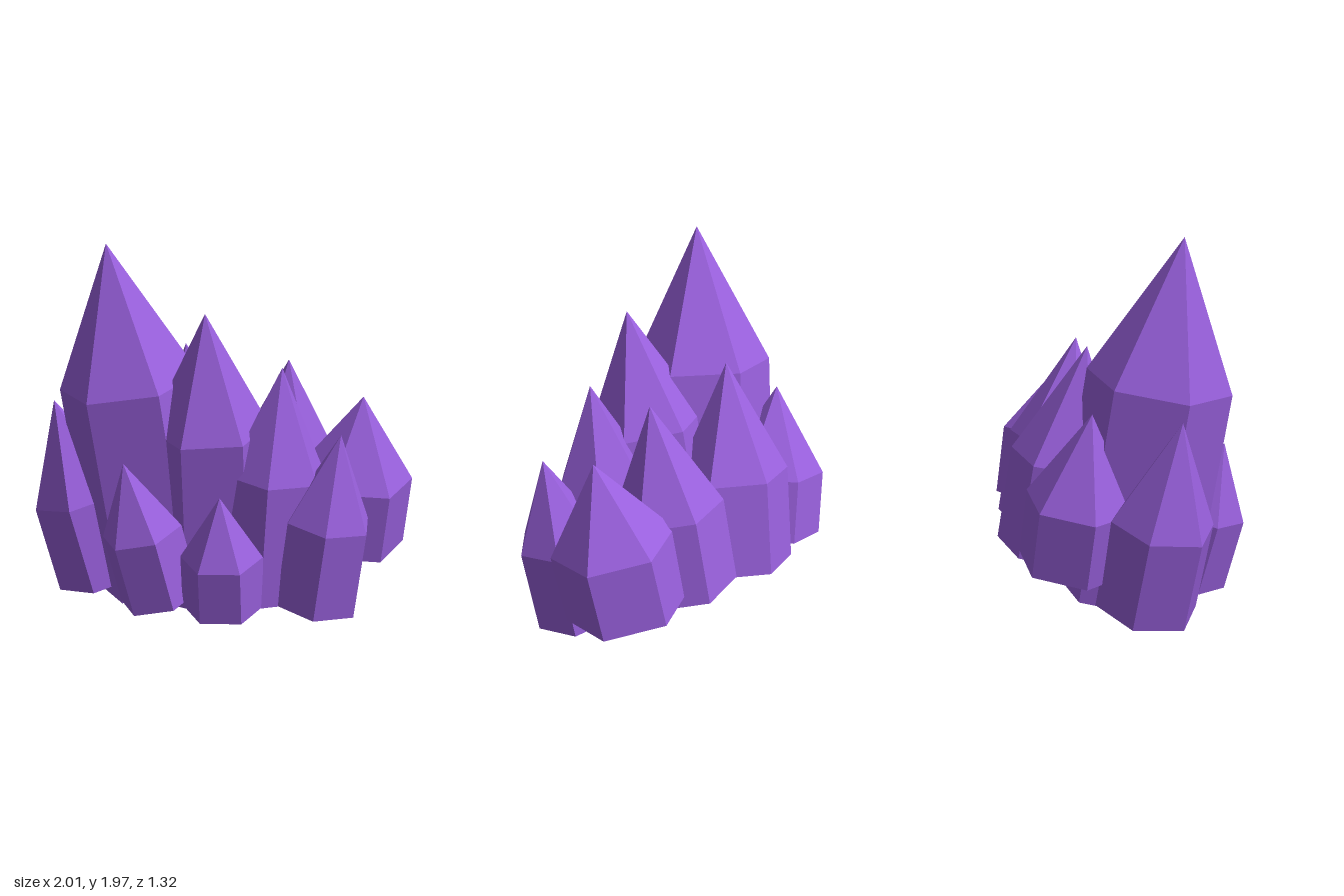
import * as THREE from 'three';
import { mergeGeometries } from 'three/addons/utils/BufferGeometryUtils.js';

const UP = new THREE.Vector3(0, 1, 0);

// name, foot centre, tip, shoulder height, radius, turn in degrees
const CRYSTALS = [
  ['tallCrystal', [-0.34, 0.08, 0.0], [-0.53, 1.975, 0.285], 1.22, 0.385, -14],
  ['middleCrystal', [-0.03, 0.1, 0.0], [0.025, 1.63, 0.285], 1.0, 0.325, -7],
  ['leftInnerCrystal', [0.31, 0.1, 0.08], [0.415, 1.35, 0.175], 0.77, 0.28, 10],
  ['leftFrontCrystal', [0.6, 0.065, 0.12], [0.745, 1.02, 0.2], 0.54, 0.24, 13],
  ['rightFrontCrystal', [-0.655, 0.075, 0.08], [-0.88, 1.095, 0.23], 0.55, 0.275, 9],
  ['smallRightCrystal', [-0.21, 0.085, 0.36], [-0.34, 0.855, 0.54], 0.47, 0.22, -20],
  ['smallLeftCrystal', [0.16, 0.08, 0.38], [0.185, 0.71, 0.51], 0.37, 0.218, -15],
  ['backLeftCrystal', [0.64, 0.31, -0.315], [0.76, 1.145, -0.2], 0.69, 0.33, -8],
  ['backInnerCrystal', [0.27, 0.29, -0.36], [0.34, 1.325, -0.19], 0.75, 0.297, -17],
  ['backMiddleCrystal', [-0.17, 0.26, -0.365], [-0.26, 1.38, -0.185], 0.77, 0.31, -11],
  ['backRightCrystal', [-0.53, 0.28, -0.29], [-0.68, 1.105, -0.2], 0.63, 0.293, -20],
];

// Six-sided shaft with a pointed cap, standing on its foot
function crystalGeometry(radius, shaft, cap, turn) {
  const body = new THREE.CylinderGeometry(radius, radius, shaft, 6);
  body.translate(0, shaft / 2, 0);
  const point = new THREE.ConeGeometry(radius, cap, 6, 1, true);
  point.translate(0, shaft + cap / 2, 0);
  return mergeGeometries([body, point]).rotateY(THREE.MathUtils.degToRad(turn));
}

export function createModel() {
  const group = new THREE.Group();
  group.name = 'crystalCluster';
  const material = new THREE.MeshStandardMaterial({ color: 0x9960dd, flatShading: true });

  // Crystals, each leaning along the line from foot to tip
  for (const [name, foot, tip, shoulderY, radius, turn] of CRYSTALS) {
    const base = new THREE.Vector3(...foot);
    const axis = new THREE.Vector3(...tip).sub(base);
    const length = axis.length();
    const shaft = length * (shoulderY - foot[1]) / (tip[1] - foot[1]);
    const mesh = new THREE.Mesh(crystalGeometry(radius, shaft, length - shaft, turn), material);
    mesh.name = name;
    mesh.position.copy(base);
    mesh.quaternion.setFromUnitVectors(UP, axis.normalize());
    group.add(mesh);
  }

  // Tilted plate joining the feet
  const plate = new THREE.Mesh(new THREE.CylinderGeometry(1, 1, 0.12, 10), material);
  plate.name = 'basePlate';
  plate.scale.set(0.5, 1, 0.36);
  plate.rotation.x = 0.14;
  plate.position.set(-0.03, 0.14, 0.03);
  group.add(plate);

  return group;
}
